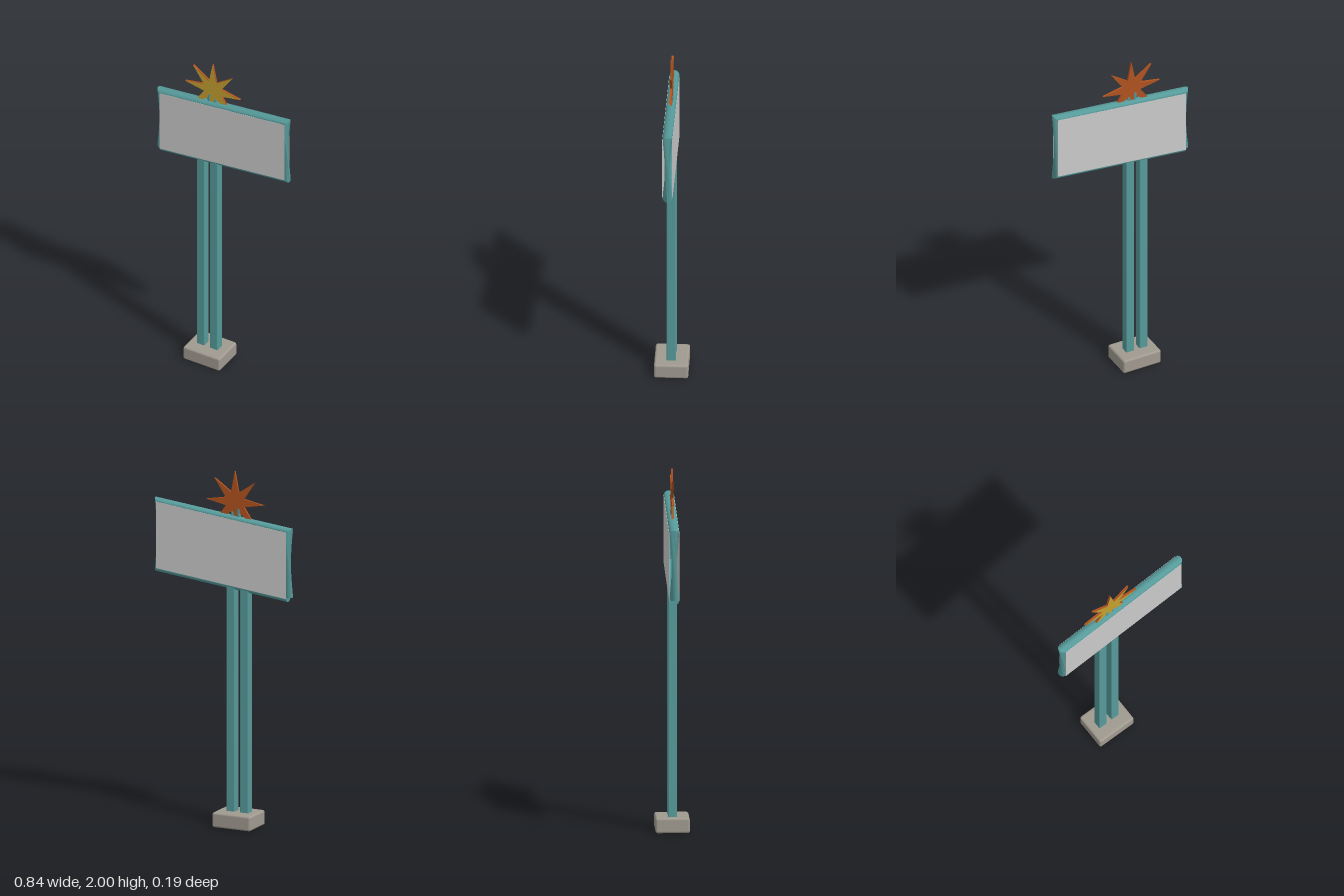
import * as THREE from 'three';
import { RoundedBoxGeometry } from 'three/addons/geometries/RoundedBoxGeometry.js';

const mat = (name, color, side = THREE.FrontSide) => {
  const m = new THREE.MeshStandardMaterial({ color, side });
  m.name = name;
  return m;
};

export function createModel() {
  const teal = mat('teal paint', 0x569a9a, THREE.DoubleSide);
  const grey = mat('panel grey', 0xcacaca);
  const gold = mat('gold', 0xc4a030);
  const rust = mat('rust orange', 0xb0521f);
  const stone = mat('concrete', 0xa09a90);

  const model = new THREE.Group();
  model.name = 'roadsideSign';
  const add = (name, geometry, material, x = 0, y = 0, z = 0, parent = model) => {
    const mesh = new THREE.Mesh(geometry, material);
    mesh.name = name;
    mesh.position.set(x, y, z);
    parent.add(mesh);
    return mesh;
  };

  // Footing and the two square posts
  add('base', new RoundedBoxGeometry(0.234, 0.084, 0.188, 2, 0.012), stone, -0.091, 0.042, -0.001);
  for (const [name, x] of [['rightPost', -0.136], ['leftPost', -0.053]]) {
    add(name, new RoundedBoxGeometry(0.05, 1.29, 0.05, 2, 0.005), teal, x, 0.705, 0);
  }

  // Slanted frame: rings at the corners (centre x, y and outward offset x, y)
  const SIDES = 16, DEPTH = 0.027;
  const rings = [
    [-0.395, 1.32, 0, -0.022],
    [0.397, 1.405, 0.022, -0.021],
    [0.397, 1.78, 0.022, 0.019],
    [-0.395, 1.695, -0.027, 0.018],
    [-0.395, 1.325, -0.027, 0],
  ];
  const ringPoint = ([cx, cy, ox, oy], k) => {
    const a = (k / SIDES) * Math.PI * 2;
    return [cx + ox * Math.cos(a), cy + oy * Math.cos(a), DEPTH * Math.sin(a)];
  };

  // Tube between two rings; a twist pinches it at the waist
  const bar = (from, to, twist) => {
    const pos = [], index = [];
    for (let k = 0; k <= SIDES; k++) {
      pos.push(...ringPoint(from, k), ...ringPoint(to, k + twist));
      if (k < SIDES) {
        const a = k * 2;
        index.push(a, a + 1, a + 3, a, a + 3, a + 2);
      }
    }
    const g = new THREE.BufferGeometry();
    g.setAttribute('position', new THREE.Float32BufferAttribute(pos, 3));
    g.setIndex(index);
    g.computeVertexNormals();
    return g;
  };
  const frame = new THREE.Group();
  frame.name = 'frame';
  model.add(frame);
  ['bottomBar', 'leftBar', 'topBar', 'rightBar'].forEach((name, i) => {
    add(name, bar(rings[i], rings[i + 1], i % 2 ? 5 : 0), teal, 0, 0, 0, frame);
  });

  // Flat caps on the open corner of the frame
  const cap = (ring) => {
    const g = new THREE.CircleGeometry(1, SIDES);
    const p = g.attributes.position;
    for (let i = 1; i < p.count; i++) p.setXYZ(i, ...ringPoint(ring, i - 1));
    p.setXYZ(0, ring[0], ring[1], 0);
    g.computeVertexNormals();
    return g;
  };
  add('bottomBarCap', cap(rings[0]), teal, 0, 0, 0, frame);
  add('rightBarCap', cap(rings[4]), teal, 0, 0, 0, frame);

  // Display panels on both faces
  const panelShape = new THREE.Shape(
    [[-0.395, 1.32], [0.4, 1.405], [0.4, 1.78], [-0.395, 1.695]].map((p) => new THREE.Vector2(...p)));
  const panelGeo = new THREE.ExtrudeGeometry(panelShape, { depth: 0.003, bevelEnabled: false });
  add('frontPanel', panelGeo, grey, 0, 0, 0.0255);
  add('backPanel', panelGeo, grey, 0, 0, -0.0285);

  // Eight-pointed star on two short rods
  const starPoints = [];
  for (let i = 0; i < 16; i++) {
    const a = Math.PI / 2 + (i * Math.PI) / 8;
    const r = i % 2 ? 0.06 : 0.175;
    starPoints.push(new THREE.Vector2(r * Math.cos(a), r * Math.sin(a)));
  }
  const starShape = new THREE.Shape(starPoints);
  const starGeo = new THREE.ExtrudeGeometry(starShape, { depth: 0.012, bevelEnabled: false });
  add('starBody', starGeo, rust, -0.07, 1.825, -0.006);
  add('starFace', new THREE.ShapeGeometry(starShape), gold, -0.07, 1.825, 0.0068);
  for (const [name, x, top] of [['rightStarRod', -0.093, 1.79], ['leftStarRod', -0.055, 1.77]]) {
    add(name, new THREE.CylinderGeometry(0.01, 0.01, top - 1.72, 12), teal, x, (top + 1.72) / 2, 0);
  }
  return model;
}
